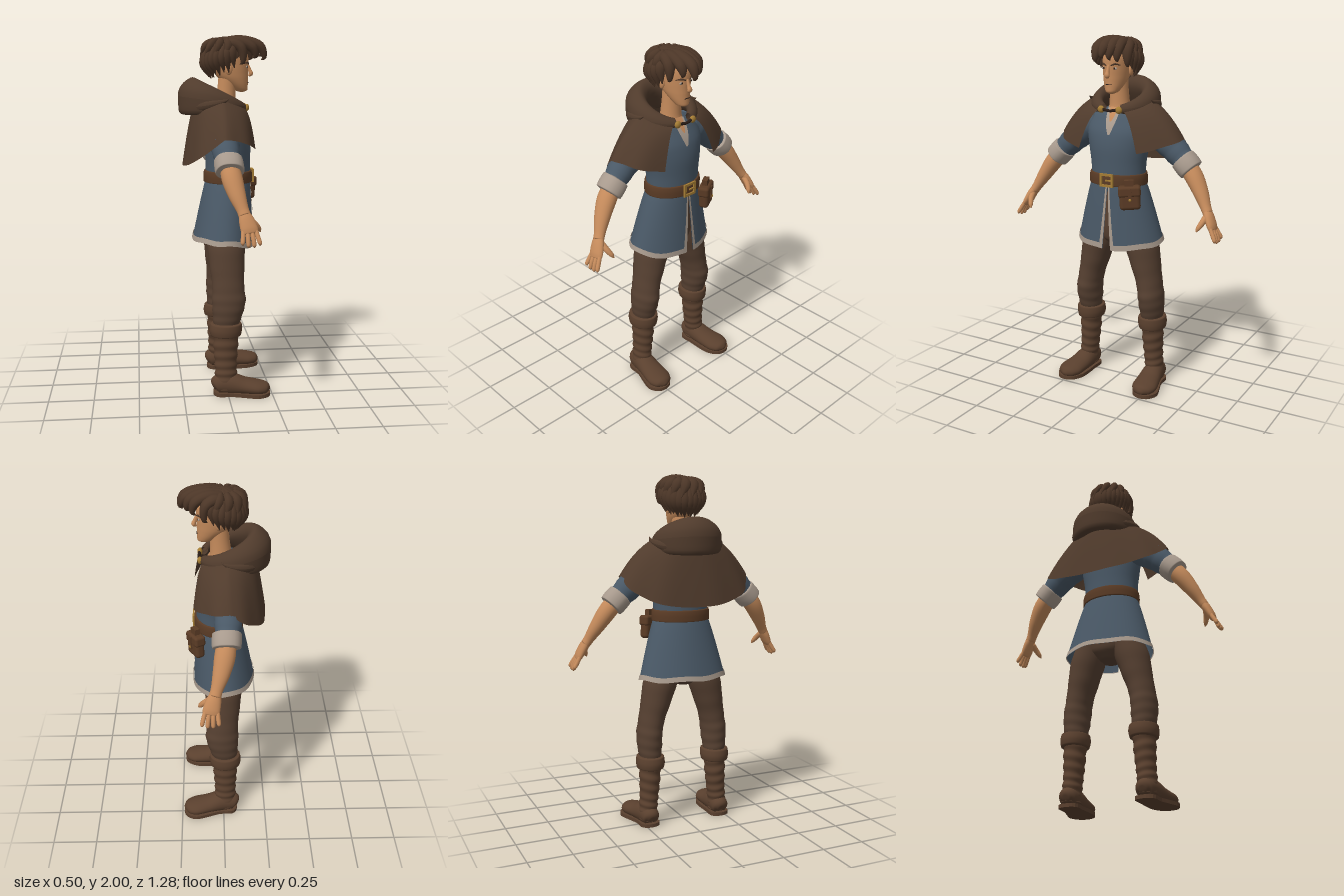
import * as THREE from 'three';
import { RoundedBoxGeometry } from 'three/addons/geometries/RoundedBoxGeometry.js';

const { sin, cos, abs, pow, max, PI, sqrt } = Math;
const mix = (a, b, t) => a + (b - a) * t;
const V = (x, y, z) => new THREE.Vector3(x, y, z);
const mat = (name, color) => {
  const m = new THREE.MeshStandardMaterial({ color, side: THREE.DoubleSide });
  m.name = name;
  return m;
};

// Surface from f(u, v) -> [x, y, z]; wrap joins the u ends
function grid(nu, nv, f, wrap = false, caps = false) {
  const pos = [], idx = [], w = wrap ? nu : nu + 1;
  for (let j = 0; j <= nv; j++) for (let i = 0; i < w; i++) pos.push(...f(i / nu, j / nv));
  for (let j = 0; j < nv; j++) for (let i = 0; i < nu; i++) {
    const a = j * w + i, b = j * w + (i + 1) % w;
    idx.push(a, b, a + w, b, b + w, a + w);
  }
  if (caps) for (const j of [0, nv]) {
    const c = [0, 0, 0], n = pos.length / 3;
    for (let i = 0; i < w; i++) for (let k = 0; k < 3; k++) c[k] += pos[(j * w + i) * 3 + k] / w;
    pos.push(...c);
    for (let i = 0; i < w; i++) {
      const a = j * w + i, b = j * w + (i + 1) % w;
      idx.push(...(j ? [a, b, n] : [b, a, n]));
    }
  }
  const g = new THREE.BufferGeometry();
  g.setAttribute('position', new THREE.Float32BufferAttribute(pos, 3));
  g.setIndex(idx);
  g.computeVertexNormals();
  return g;
}

// Tube through rows [x, y, z, ra, rb]; ra lies along ref, level keeps the rings horizontal
function loft(rows, { ref = V(1, 0, 0), level = false, n = 24, m = rows.length * 4, ripple = () => 1, floor = -9 } = {}) {
  const path = new THREE.CatmullRomCurve3(rows.map(r => V(r[0], r[1], r[2])));
  const radii = new THREE.CatmullRomCurve3(rows.map(r => V(r[3], r[4] ?? r[3], 0)));
  return grid(n, m, (u, v) => {
    const T = level ? V(0, -1, 0) : path.getTangent(v);
    const A = ref.clone().addScaledVector(T, -ref.dot(T)).normalize();
    const B = T.clone().cross(A), R = radii.getPoint(v), k = ripple(v, u * 2 * PI);
    const p = path.getPoint(v).addScaledVector(A, cos(u * 2 * PI) * max(R.x, 0.001) * k)
      .addScaledVector(B, sin(u * 2 * PI) * max(R.y, 0.001) * k);
    return [p.x, max(p.y, floor), p.z];
  }, true, true);
}

export function createModel() {
  const cloth = mat('cape brown', 0x503b2c), pants = mat('trouser brown', 0x564031), boots = mat('boot brown', 0x5a402e);
  const blue = mat('tunic blue', 0x4a5967), trim = mat('linen trim', 0xa89a8d), skin = mat('skin', 0xc48a5b);
  const hair = mat('hair brown', 0x4c3627), leather = mat('leather', 0x5a3b25), gold = mat('brass', 0xa47c34), dark = mat('dark brown', 0x2a1d17);
  const body = new THREE.Group();
  body.name = 'figure';
  const add = (name, geo, m, parent = body) => {
    const o = new THREE.Mesh(geo, m);
    o.name = name;
    parent.add(o);
    return o;
  };
  const ball = (name, m, p, s, parent) => {
    const o = add(name, new THREE.SphereGeometry(1, 16, 12), m, parent);
    o.position.set(...p);
    o.scale.set(...s);
    return o;
  };

  // Head, neck and nose
  add('head', loft([[0, 1.97, 0.01, 0.03, 0.04], [0, 1.94, 0.015, 0.07, 0.09], [0, 1.88, 0.025, 0.076, 0.112], [0, 1.82, 0.035, 0.072, 0.102],
    [0, 1.77, 0.05, 0.064, 0.086], [0, 1.73, 0.075, 0.05, 0.06], [0, 1.7, 0.095, 0.033, 0.038], [0, 1.69, 0.1, 0.012, 0.015]], { level: true }), skin);
  add('neck', loft([[0, 1.78, 0.02, 0.05], [0, 1.7, 0.015, 0.052], [0, 1.62, 0.01, 0.058], [0, 1.57, 0.01, 0.085, 0.07]], { level: true }), skin);
  add('nose', loft([[0, 1.845, 0.132, 0.007], [0, 1.81, 0.145, 0.01], [0, 1.79, 0.152, 0.015, 0.012], [0, 1.778, 0.14, 0.006]], { n: 12 }), skin);
  ball('mouth', dark, [0, 1.741, 0.134], [0.021, 0.0025, 0.004]);
  for (const s of [-1, 1]) {
    ball('ear', skin, [s * 0.076, 1.815, 0.02], [0.012, 0.032, 0.02]);
    ball('eyeWhite', trim, [s * 0.033, 1.828, 0.124], [0.014, 0.007, 0.005]);
    ball('iris', dark, [s * 0.032, 1.828, 0.127], [0.006, 0.006, 0.004]);
    add('eyebrow', loft([[s * 0.014, 1.843, 0.137, 0.003], [s * 0.035, 1.851, 0.129, 0.005], [s * 0.058, 1.845, 0.105, 0.002]], { ref: V(0, 1, 0), n: 8 }), hair);
  }

  // Hair cap, high at the forehead and low at the nape
  const lim = a => 1.9 - 0.3 * cos(a) - 0.4 * pow(max(0, cos(a)), 2);
  const scalp = (a, phi, k = 1) => [-sin(a) * sin(phi) * 0.106 * k, 1.88 + cos(phi) * 0.112 * k, cos(a) * sin(phi) * 0.118 * k];
  add('hairCap', grid(64, 20, (u, v) => {
    const a = u * 2 * PI;
    return scalp(a, max(0.01, v * lim(a)), 1 + 0.035 * v * sin(11 * a + 3 * v));
  }, true), hair);
  const lock = (p0, p1, p2, r) => add('hairLock', loft([[...p0, r * 0.4], [...p1, r, r * 0.75], [...p2, 0.002]], { ref: V(0.8, 0.1, 0.6), n: 10, m: 10 }), hair);
  for (let i = 0; i < 17; i++) {
    const a = mix(1.15, 2 * PI - 1.15, i / 16), e = scalp(a, lim(a) + 0.2 + 0.12 * (i % 2), 1.06);
    e[1] -= 0.02;
    lock(scalp(a, 0.9), scalp(a + 0.1, lim(a) - 0.35, 1.0), e, 0.03);
    if (i % 2) lock(scalp(a, 0.5), scalp(a, 1.0, 1.03), scalp(a + 0.25, 1.65, 1.13), 0.03);
  }
  // Swept fringe
  for (const [x, z, y] of [[-0.085, 0.1, 1.84], [-0.06, 0.17, 1.875], [-0.03, 0.225, 1.865], [0, 0.215, 1.885],
    [0.03, 0.19, 1.875], [0.06, 0.16, 1.865], [0.09, 0.1, 1.835]]) {
    const s = sqrt(1 - pow(x / 0.125, 2));
    add('fringe', loft([[x * 0.6, 1.9 + 0.07 * s, -0.01, 0.02], [x * 0.85, 1.905 + 0.065 * s, z * 0.5, 0.034, 0.03],
      [x, 1.885 + 0.055 * s, z * 0.88, 0.032, 0.028], [x * 1.05, y + 0.015, z - 0.005, 0.014], [x, y, z - 0.02, 0.002]], { n: 12 }), hair);
  }

  // Tunic body, shirt opening and pelvis
  add('tunicBody', loft([[0, 1.61, 0, 0.07, 0.055], [0, 1.57, 0, 0.16, 0.085], [0, 1.48, 0.015, 0.19, 0.118], [0, 1.4, 0.02, 0.178, 0.128],
    [0, 1.3, 0.022, 0.162, 0.126], [0, 1.19, 0.022, 0.157, 0.124]], { level: true, n: 36 }), blue);
  const patch = (w, y0, y1, out) => grid(6, 6, (u, v) => {
    const y = mix(y0, y1, v);
    return [(u - 0.5) * 2 * w * (1 - 0.85 * v * v), y, mix(0.138, 0.065, pow(max(0, (y - 1.46) / 0.15), 1.5)) + out];
  });
  add('shirtOpening', patch(0.038, 1.61, 1.47, 0.003), trim);
  add('openChest', patch(0.024, 1.615, 1.54, 0.007), skin);
  add('pelvis', loft([[0, 1.1, 0, 0.14, 0.1], [0, 0.95, 0, 0.17, 0.11], [0, 0.87, 0, 0.14, 0.1], [0, 0.82, 0, 0.05, 0.06]], { level: true }), pants);

  // Tunic skirt with slit and trimmed edges
  const skirt = (a, v, out = 0) => {
    const c = cos(a), k = pow(v, 0.85);
    const hem = 0.862 - 0.035 * max(0, c) + 0.004 * sin(6 * a);
    return [-sin(a) * (mix(0.155, 0.258, k) + out), mix(1.21, hem, v), mix(0.022, -0.005, v) + c * (mix(0.122, 0.172, k) + out)];
  };
  const slit = v => 0.01 + 0.09 * v;
  add('tunicSkirt', grid(64, 12, (u, v) => skirt(mix(slit(v), 2 * PI - slit(v), u), v)), blue);
  add('hemTrim', grid(64, 2, (u, v) => skirt(mix(0.1, 2 * PI - 0.1, u), mix(0.925, 1.005, v), 0.005)), trim);
  for (const s of [-1, 1])
    add('slitTrim', grid(2, 10, (u, v) => skirt(s * (slit(v) + u * mix(0.05, 0.085, v)), v, 0.005)), trim);

  // Belt, buckle and pouch
  add('belt', loft([[0, 1.252, 0.022, 0.15, 0.12], [0, 1.25, 0.022, 0.166, 0.134], [0, 1.22, 0.022, 0.171, 0.138], [0, 1.188, 0.022, 0.17, 0.137],
    [0, 1.185, 0.022, 0.15, 0.12]], { level: true, n: 40 }), leather);
  const frame = new THREE.Shape([[-0.042, -0.037], [0.042, -0.037], [0.042, 0.037], [-0.042, 0.037]].map(p => new THREE.Vector2(...p)));
  frame.holes.push(new THREE.Path([[-0.028, -0.024], [-0.028, 0.024], [0.028, 0.024], [0.028, -0.024]].map(p => new THREE.Vector2(...p))));
  add('buckle', new THREE.ExtrudeGeometry(frame, { depth: 0.01, bevelEnabled: false }), gold).position.set(0, 1.22, 0.157);
  add('bucklePin', new THREE.BoxGeometry(0.04, 0.008, 0.008), gold).position.set(0.015, 1.22, 0.165);
  const pouch = new THREE.Group();
  pouch.name = 'pouch';
  pouch.position.set(0.14, 1.135, 0.15);
  pouch.rotation.set(0, 0.5, 0.06);
  body.add(pouch);
  add('pouchBag', new RoundedBoxGeometry(0.115, 0.13, 0.055, 3, 0.02), leather, pouch);
  add('pouchFlap', new RoundedBoxGeometry(0.124, 0.06, 0.064, 3, 0.015), leather, pouch).position.y = 0.038;
  add('pouchStrap', new THREE.BoxGeometry(0.02, 0.075, 0.008), leather, pouch).position.set(0, 0.02, 0.033);
  add('pouchLoop', new THREE.BoxGeometry(0.05, 0.07, 0.03), leather, pouch).position.y = 0.065;
  ball('pouchButton', gold, [0, -0.005, 0.037], [0.008, 0.008, 0.005], pouch);

  // Shoulder cape, longer at the back and open in front
  add('cape', grid(72, 16, (u, v) => {
    const a = mix(0.43, 2 * PI - 0.43, u), c = cos(a), s = sin(a), back = max(0, -c);
    const hem = 1.45 - 0.08 * pow(max(0, c), 2) - 0.165 * back, k = pow(v, 0.62);
    const fold = 1 + 0.015 * v * sin(9 * a);
    return [-Math.sign(s) * pow(abs(s), 0.85) * mix(0.12, 0.38, k) * fold, mix(1.66 - 0.06 * max(0, c), hem, pow(v, 1.25 - 0.2 * back)),
      mix(-0.02, -0.035, v) + c * mix(0.13, c > 0 ? 0.212 : 0.2, k) * fold];
  }), cloth);
  // Lowered hood rolled around the neck
  add('hood', grid(56, 24, (u, v) => {
    const a = mix(0.36, 2 * PI - 0.36, u), b = pow((1 - cos(a)) / 2, 0.8), f = v * 2 * PI;
    const dy = sin(f) * mix(0.018, 0.103, b), r = cos(f) * mix(0.02, 0.058, b) * (1 + 0.14 * b * sin(3 * f)) - 0.25 * dy;
    return [-sin(a) * (0.152 + r), mix(1.605, 1.668, b) + dy, -0.045 + cos(a) * (0.155 + r)];
  }), cloth);
  add('hoodFold', grid(40, 12, (u, v) => {
    const a = mix(1.3, 2 * PI - 1.3, u), b = pow(sin(u * PI), 0.6), f = v * 2 * PI;
    const r = 0.2 + cos(f) * 0.022 * b;
    return [-sin(a) * r, 1.66 - 0.055 * b + sin(f) * 0.035 * b, -0.035 + cos(a) * (r - 0.02)];
  }), cloth);
  for (const s of [-1, 1]) ball('clasp', gold, [s * 0.055, 1.605, 0.122], [0.02, 0.02, 0.014]);
  add('claspCord', loft([[-0.05, 1.607, 0.122, 0.009], [0, 1.6, 0.128, 0.008], [0.05, 1.607, 0.122, 0.009]], { ref: V(0, 1, 0), n: 10 }), dark);

  // Limbs, one group per side
  for (const side of [-1, 1]) {
    const g = new THREE.Group(), ref = V(0, 0, 1);
    g.name = side > 0 ? 'leftLimbs' : 'rightLimbs';
    g.scale.x = side;
    body.add(g);
    add('sleeve', loft([[0.12, 1.53, -0.01, 0.07], [0.2, 1.49, -0.02, 0.088], [0.29, 1.425, -0.025, 0.08], [0.36, 1.36, -0.02, 0.068], [0.41, 1.315, -0.015, 0.06]],
      { ref, ripple: v => 1 + 0.02 * sin(v * 38) }), blue, g);
    add('sleeveCuff', loft([[0.372, 1.351, -0.015, 0.058], [0.378, 1.345, -0.015, 0.076, 0.07], [0.405, 1.317, -0.013, 0.078, 0.072],
      [0.43, 1.291, -0.012, 0.075, 0.069], [0.434, 1.287, -0.012, 0.05]], { ref, ripple: (v, a) => 1 + 0.015 * sin(5 * a) }), trim, g);
    add('forearm', loft([[0.4, 1.32, -0.012, 0.05], [0.45, 1.26, -0.004, 0.055, 0.05], [0.505, 1.175, 0.018, 0.045, 0.04], [0.545, 1.105, 0.042, 0.032, 0.028],
      [0.56, 1.08, 0.05, 0.032, 0.026]], { ref }), skin, g);
    add('palm', loft([[0.552, 1.095, 0.045, 0.028, 0.024], [0.572, 1.06, 0.057, 0.04, 0.025], [0.592, 1.02, 0.068, 0.045, 0.022],
      [0.602, 0.998, 0.073, 0.042, 0.016], [0.605, 0.992, 0.074, 0.02, 0.008]], { ref }), skin, g);
    for (let i = 0; i < 4; i++) {
      const q = i - 1.5, t = [0.012, 0, 0, 0.01][i];
      add('finger', loft([[0.595, 1.015, 0.069 + q * 0.021, 0.011], [0.618, 0.975, 0.073 + q * 0.026, 0.012], [0.63, 0.942 + t, 0.075 + q * 0.029, 0.011],
        [0.63, 0.93 + t, 0.076 + q * 0.029, 0.003]], { ref, n: 10 }), skin, g);
    }
    add('thumb', loft([[0.56, 1.065, 0.07, 0.018], [0.55, 1.035, 0.105, 0.016], [0.538, 1.01, 0.125, 0.013], [0.53, 0.992, 0.135, 0.003]], { n: 10 }), skin, g);

    add('trouserLeg', loft([[0.1, 0.95, 0, 0.09, 0.1], [0.135, 0.84, 0, 0.098, 0.105], [0.165, 0.72, 0.002, 0.085, 0.097], [0.192, 0.61, 0.006, 0.073, 0.09],
      [0.203, 0.54, 0.008, 0.072, 0.095], [0.205, 0.47, 0.002, 0.07, 0.086], [0.205, 0.41, -0.006, 0.062, 0.074], [0.206, 0.36, -0.008, 0.058, 0.068]],
      { level: true, m: 48, ripple: (v, a) => 1 + 0.025 * v * sin(v * 48 + cos(a)) }), pants, g);
    add('bootCuff', loft([[0.205, 0.412, -0.008, 0.06, 0.07], [0.205, 0.408, -0.008, 0.078, 0.088], [0.205, 0.375, -0.01, 0.082, 0.092],
      [0.206, 0.342, -0.01, 0.076, 0.086], [0.206, 0.335, -0.01, 0.055, 0.065]], { level: true }), boots, g);
    add('bootShaft', loft([[0.207, 0.36, -0.008, 0.062, 0.072], [0.21, 0.26, -0.01, 0.058, 0.068], [0.215, 0.17, -0.01, 0.053, 0.062], [0.221, 0.1, -0.01, 0.052, 0.062],
      [0.224, 0.03, -0.01, 0.052, 0.064]], { level: true, m: 56, ripple: (v, a) => 1 + 0.045 * sin(v * 40 + 1.2 * cos(a)) }), boots, g);
    add('bootFoot', loft([[0.222, 0.045, -0.082, 0.02], [0.222, 0.055, -0.065, 0.048, 0.05], [0.226, 0.062, 0.01, 0.058, 0.062], [0.235, 0.05, 0.09, 0.066, 0.047],
      [0.246, 0.042, 0.165, 0.072, 0.04], [0.25, 0.037, 0.215, 0.052, 0.032], [0.252, 0.032, 0.236, 0.012, 0.01]],
      { floor: 0.01 }), boots, g);
    const outline = new THREE.Shape(new THREE.CatmullRomCurve3([[0.222, -0.082], [0.275, -0.06], [0.282, 0.02], [0.308, 0.1], [0.325, 0.17], [0.295, 0.225],
      [0.25, 0.238], [0.205, 0.222], [0.172, 0.165], [0.166, 0.1], [0.168, 0.02], [0.17, -0.06]].map(p => V(p[0], p[1], 0)), true).getPoints(40)
      .map(p => new THREE.Vector2(p.x, p.y)));
    const sole = new THREE.ExtrudeGeometry(outline, { depth: 0.02, bevelEnabled: false });
    sole.rotateX(PI / 2).translate(0, 0.02, 0);
    add('bootSole', sole, boots, g);
  }

  // Turn the figure to face +x
  body.rotation.y = PI / 2;
  const model = new THREE.Group();
  model.name = 'cloakedTraveller';
  model.add(body);
  return model;
}
